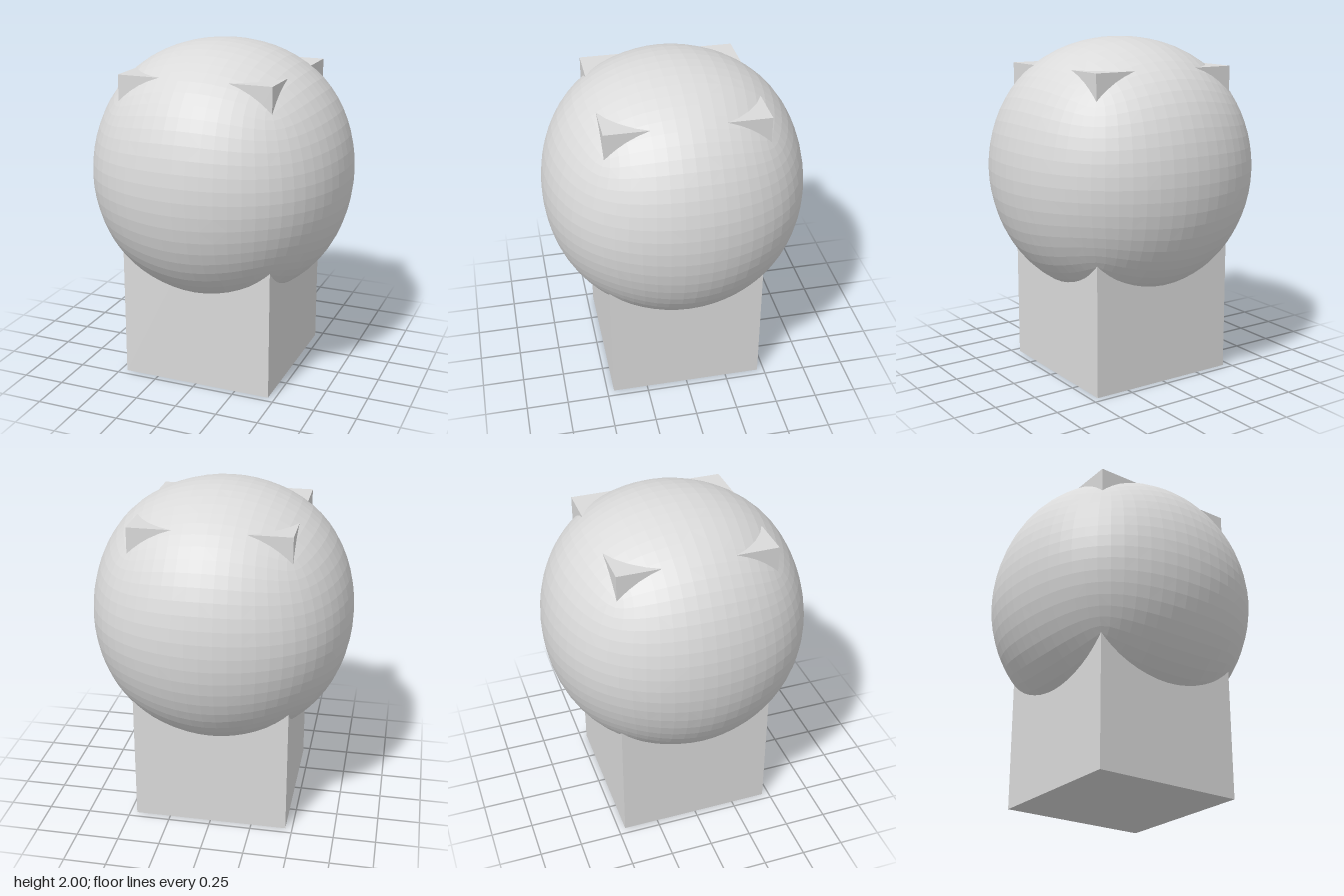
import * as THREE from 'three';

const BOX = 0.459;     // half width of the block
const RADIUS = 0.77;   // half width of the ball

// One round of Catmull-Clark smoothing on a closed mesh of quads
function smooth(points, quads) {
  const next = points.map(() => new THREE.Vector3());
  const sums = points.map(() => ({ n: 0, face: new THREE.Vector3(), mid: new THREE.Vector3() }));
  const edges = new Map();
  const faceIds = quads.map((q) => {
    const centre = new THREE.Vector3();
    q.forEach((i) => centre.addScaledVector(points[i], 0.25));
    q.forEach((a, k) => {
      const b = q[(k + 1) % 4];
      const key = Math.min(a, b) + '_' + Math.max(a, b);
      if (!edges.has(key)) {
        edges.set(key, next.length);
        next.push(points[a].clone().add(points[b]).multiplyScalar(0.25));
      }
      next[edges.get(key)].addScaledVector(centre, 0.25);
      // each edge is met once leaving a and once leaving b
      sums[a].n++;
      sums[a].face.add(centre);
      sums[a].mid.addScaledVector(points[a], 0.5).addScaledVector(points[b], 0.5);
    });
    next.push(centre);
    return next.length - 1;
  });
  points.forEach((p, i) => {
    const { n, face, mid } = sums[i];
    next[i].addScaledVector(face, 1 / (n * n)).addScaledVector(mid, 2 / (n * n)).addScaledVector(p, (n - 3) / n);
  });
  const edgeId = (a, b) => edges.get(Math.min(a, b) + '_' + Math.max(a, b));
  const nextQuads = quads.flatMap((q, f) => q.map((a, k) =>
    [a, edgeId(a, q[(k + 1) % 4]), faceIds[f], edgeId(q[(k + 3) % 4], a)]));
  return [next, nextQuads];
}

// Ball made by smoothing a cube, so it stays slightly squarish
function ballGeometry(radius, levels) {
  let points = [];
  for (let i = 0; i < 8; i++) {
    points.push(new THREE.Vector3(i & 1 ? 1 : -1, i & 2 ? 1 : -1, i & 4 ? 1 : -1));
  }
  let quads = [[4, 5, 7, 6], [1, 0, 2, 3], [5, 1, 3, 7], [0, 4, 6, 2], [6, 7, 3, 2], [0, 1, 5, 4]];
  for (let i = 0; i < levels; i++) [points, quads] = smooth(points, quads);
  const geometry = new THREE.BufferGeometry().setFromPoints(points);
  geometry.setIndex(quads.flatMap(([a, b, c, d]) => [a, b, c, a, c, d]));
  geometry.computeBoundingBox();
  const s = radius / geometry.boundingBox.max.x;
  geometry.scale(s, s, s);
  // separate faces for a faceted look
  const faceted = geometry.toNonIndexed();
  faceted.computeVertexNormals();
  return faceted;
}

export function createModel() {
  const group = new THREE.Group();
  group.name = 'ballOnBlock';
  const grey = new THREE.MeshStandardMaterial({ color: 0xdadada, flatShading: true });
  grey.name = 'lightGrey';

  // Tall block whose top corners poke out through the ball
  const block = new THREE.Mesh(new THREE.BoxGeometry(BOX * 2, BOX * 4, BOX * 2), grey);
  block.name = 'block';
  block.position.y = BOX * 2;
  group.add(block);

  // Faceted ball
  const ball = new THREE.Mesh(ballGeometry(RADIUS, 4), grey);
  ball.name = 'ball';
  ball.position.y = 2 - RADIUS;
  group.add(ball);

  return group;
}
